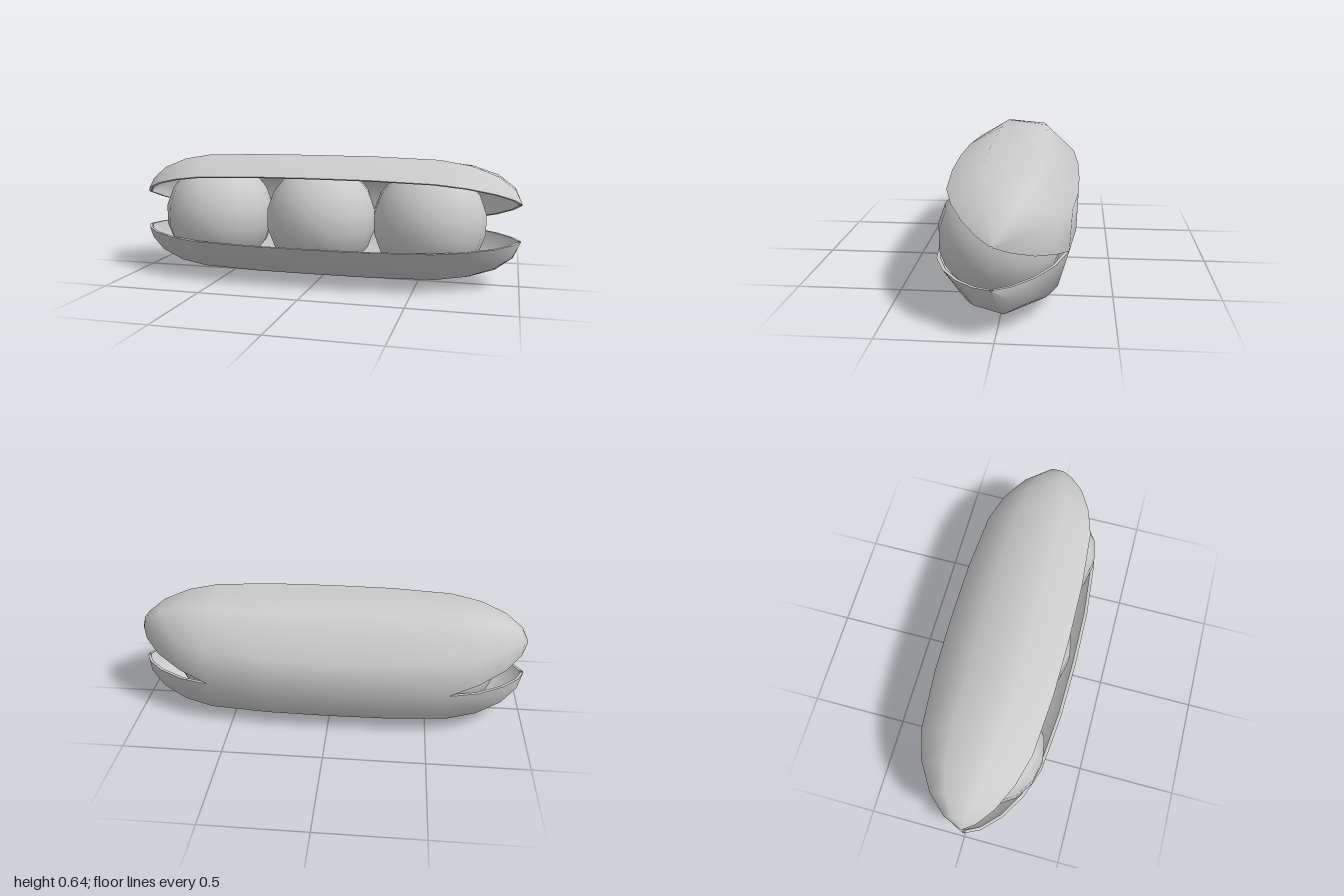
import * as THREE from 'three';
import { mergeGeometries, mergeVertices } from 'three/addons/utils/BufferGeometryUtils.js';

// Lengthwise stations: [x, width scale, depth scale]
const END = [[0, 1, 1], [0.3, 0.98, 1], [0.6, 0.89, 0.98], [0.75, 0.73, 0.89], [0.88, 0.49, 0.68], [0.965, 0.23, 0.38], [1, 0.015, 0.02]];
const STATIONS = [...END.slice(1).reverse().map(([x, w, d]) => [-x, w, d]), ...END];

// Cross-sections as [z, y] running lip, top, hinge and hinge, bottom, lip
const HINGE = [-0.33, 0.253];
const UPPER = {
  tip: [0.01, 0.413],
  lip: [0.28, 0.546],
  hingeIndex: 4,
  points: [[0.28, 0.546], [0.1, 0.643], [-0.15, 0.605], [-0.336, 0.44], HINGE],
};
const LOWER = {
  tip: [0.01, 0.232],
  lip: [0.34, 0.205],
  hingeIndex: 0,
  points: [HINGE, [-0.276, 0.09], [-0.06, 0.001], [0.2, 0.05], [0.34, 0.205]],
};

// Rows of points for one half, scaled towards its tip; shrink < 1 gives the lining
function halfRows(half, shrink) {
  const tip = new THREE.Vector2(...half.tip);
  const u = new THREE.Vector2(...half.lip).sub(tip).normalize();
  const v = new THREE.Vector2(-u.y, u.x);
  return STATIONS.map(([x, w, d]) => half.points.map((p, j) => {
    const q = new THREE.Vector2(...p).sub(tip);
    const r = tip.clone()
      .addScaledVector(u, q.dot(u) * w * shrink)
      .addScaledVector(v, q.dot(v) * d * shrink);
    // the halves stay joined along the middle of the back
    if (j === half.hingeIndex && Math.abs(x) <= 0.6) r.y = HINGE[1] + 0.005;
    if (j === half.hingeIndex && Math.abs(x) <= 0.6) r.x = HINGE[0] * w * shrink;
    return new THREE.Vector3(x * (shrink < 1 ? 0.985 : 1), r.y, r.x);
  }));
}

// Surface through a grid of points
function skin(rows, flip = false) {
  const n = rows[0].length;
  const index = [];
  for (let i = 0; i < rows.length - 1; i++) {
    for (let j = 0; j < n - 1; j++) {
      const a = i * n + j, b = a + n, c = b + 1, e = a + 1;
      if (flip) index.push(a, e, b, b, e, c);
      else index.push(a, b, e, b, c, e);
    }
  }
  const geo = new THREE.BufferGeometry().setFromPoints(rows.flat());
  geo.setIndex(index);
  return geo;
}

function smooth(parts) {
  const geo = mergeVertices(mergeGeometries(parts), 1e-4);
  geo.computeVertexNormals();
  return geo;
}

export function createModel() {
  const group = new THREE.Group();
  const shellMaterial = new THREE.MeshStandardMaterial({ color: 0xcccccc, side: THREE.DoubleSide });
  const peaMaterial = new THREE.MeshStandardMaterial({ color: 0xcccccc });
  const add = (name, geo, material) => {
    const mesh = new THREE.Mesh(geo, material);
    mesh.name = name;
    group.add(mesh);
    return mesh;
  };

  // Pod: outer skin, lining and the thin rims between them
  const halves = [UPPER, LOWER];
  const outer = halves.map((h) => halfRows(h, 1));
  const inner = halves.map((h) => halfRows(h, 0.95));
  add('podOuterSkin', smooth(outer.map((r) => skin(r))), shellMaterial);
  add('podLining', smooth(inner.map((r) => skin(r, true))), shellMaterial);
  halves.forEach((h, k) => {
    const last = h.points.length - 1;
    const rims = [0, last].map((j) =>
      skin(outer[k].map((row, i) => [row[j], inner[k][i][j]]), j === 0));
    add(k === 0 ? 'upperRim' : 'lowerRim', smooth(rims), shellMaterial);
  });

  // Three peas in a row
  [-0.575, -0.01, 0.55].forEach((x, i) => {
    const pea = add(['rightPea', 'middlePea', 'leftPea'][i], new THREE.SphereGeometry(0.286, 16, 9), peaMaterial);
    pea.position.set(x, 0.31, 0.018);
  });
  return group;
}
